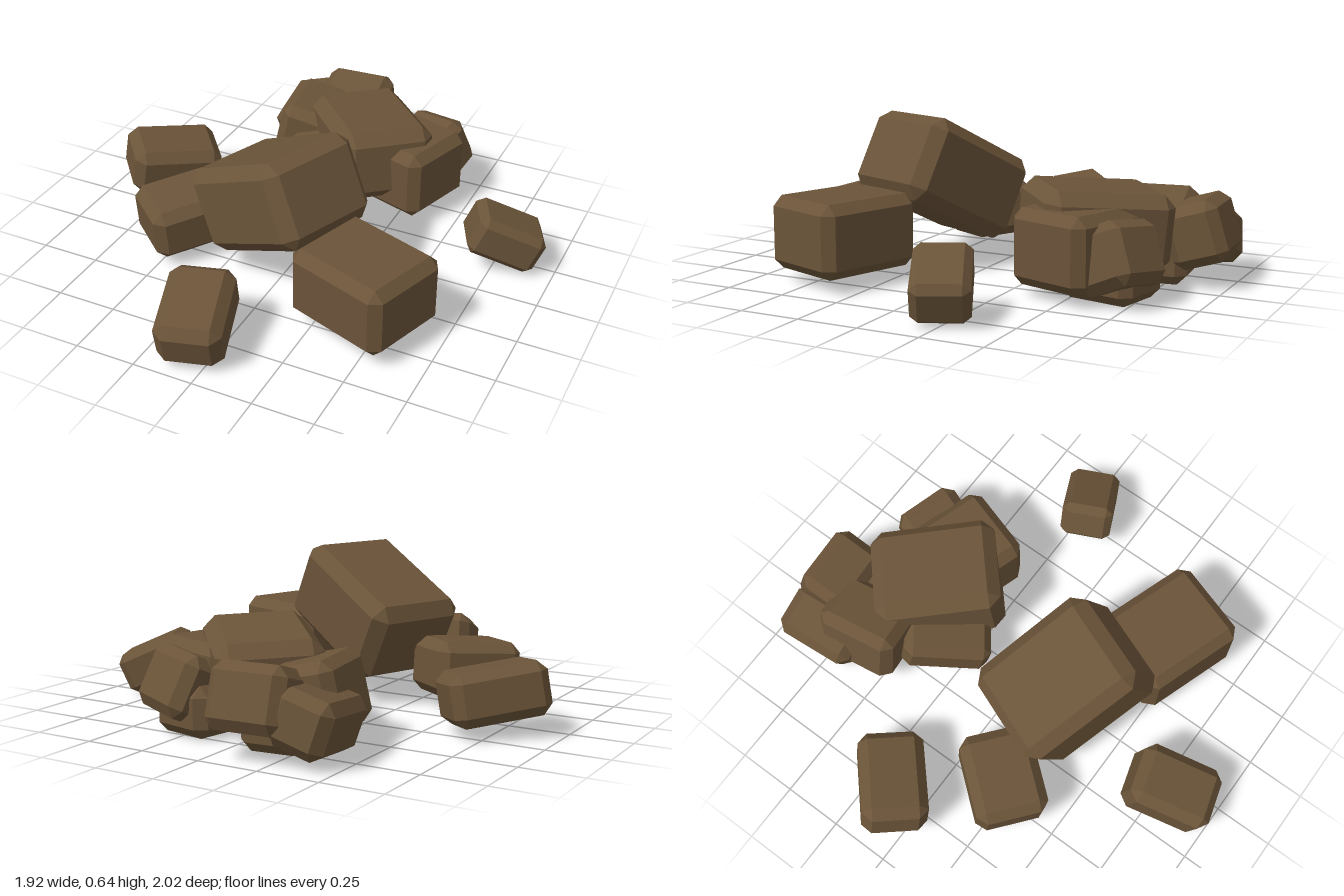
import * as THREE from 'three';
import { ConvexGeometry } from 'three/addons/geometries/ConvexGeometry.js';

// Box with bevelled edges and corners
function chamferedBox(w, h, d, c) {
  const points = [];
  for (const sx of [-1, 1]) for (const sy of [-1, 1]) for (const sz of [-1, 1]) {
    const x = w / 2, y = h / 2, z = d / 2;
    points.push(
      new THREE.Vector3(sx * x, sy * (y - c), sz * (z - c)),
      new THREE.Vector3(sx * (x - c), sy * y, sz * (z - c)),
      new THREE.Vector3(sx * (x - c), sy * (y - c), sz * z));
  }
  return new ConvexGeometry(points);
}

export function createModel() {
  const group = new THREE.Group();
  group.name = 'rubblePile';
  const stone = new THREE.MeshStandardMaterial({ color: 0x6b5439 });
  stone.name = 'brownStone';

  // name, size, centre, [pitch, yaw, roll], bevel
  const blocks = [
    // front group
    ['leaningBlock', [0.57, 0.355, 0.45], [-0.025, 0.38, 0.22], [0, -0.38, 0.465], 0.05],
    ['frontLeftBlock', [0.46, 0.295, 0.385], [0.432, 0.207, 0.418], [0, -0.33, 0], 0.04],
    ['frontRightBlock', [0.37, 0.225, 0.3], [-0.46, 0.17, 0.22], [0.05, 0.89, 0.08], 0.04],
    // scattered stones
    ['farRightBlock', [0.385, 0.21, 0.27], [-0.742, 0.165, -0.135], [0.14, 0.73, -0.13], 0.04],
    ['farLeftBlock', [0.3, 0.175, 0.22], [0.78, 0.145, -0.22], [0, 0.44, -0.42], 0.03],
    ['frontBlock', [0.26, 0.205, 0.355], [-0.083, 0.155, 0.8], [0.28, 0.28, 0], 0.04],
    // back heap
    ['heapTopBlock', [0.53, 0.31, 0.41], [0.055, 0.25, -0.505], [-0.03, -0.84, 0.08], 0.05],
    ['heapLeftBlock', [0.38, 0.3, 0.36], [0.235, 0.2, -0.5], [0, -0.31, 0], 0.04],
    ['heapBackLeftBlock', [0.28, 0.25, 0.25], [0.28, 0.18, -0.69], [0.42, -0.28, 0.12], 0.04],
    ['heapBackBlock', [0.31, 0.25, 0.23], [-0.165, 0.22, -0.872], [0.3, 0.06, 0], 0.04],
    ['heapBackRightBlock', [0.23, 0.22, 0.34], [-0.365, 0.155, -0.79], [0.1, 0.1, 0.3], 0.04],
    ['heapRightBlock', [0.27, 0.28, 0.35], [-0.275, 0.2, -0.63], [0, 0.15, -0.22], 0.04],
    ['heapFrontBlock', [0.2, 0.18, 0.37], [-0.12, 0.16, -0.335], [0.2, 0.65, 0], 0.035],
    // low stones under the heap
    ['heapBaseLeft', [0.27, 0.2, 0.32], [0.22, 0.11, -0.64], [0, -0.2, 0], 0.04],
    ['heapBaseRight', [0.25, 0.2, 0.34], [-0.16, 0.105, -0.66], [0, 0.1, 0], 0.04],
  ];
  for (const [name, size, centre, turn, bevel] of blocks) {
    const mesh = new THREE.Mesh(chamferedBox(...size, bevel), stone);
    mesh.name = name;
    mesh.position.set(...centre);
    mesh.rotation.set(...turn, 'YXZ');
    group.add(mesh);
  }
  return group;
}
